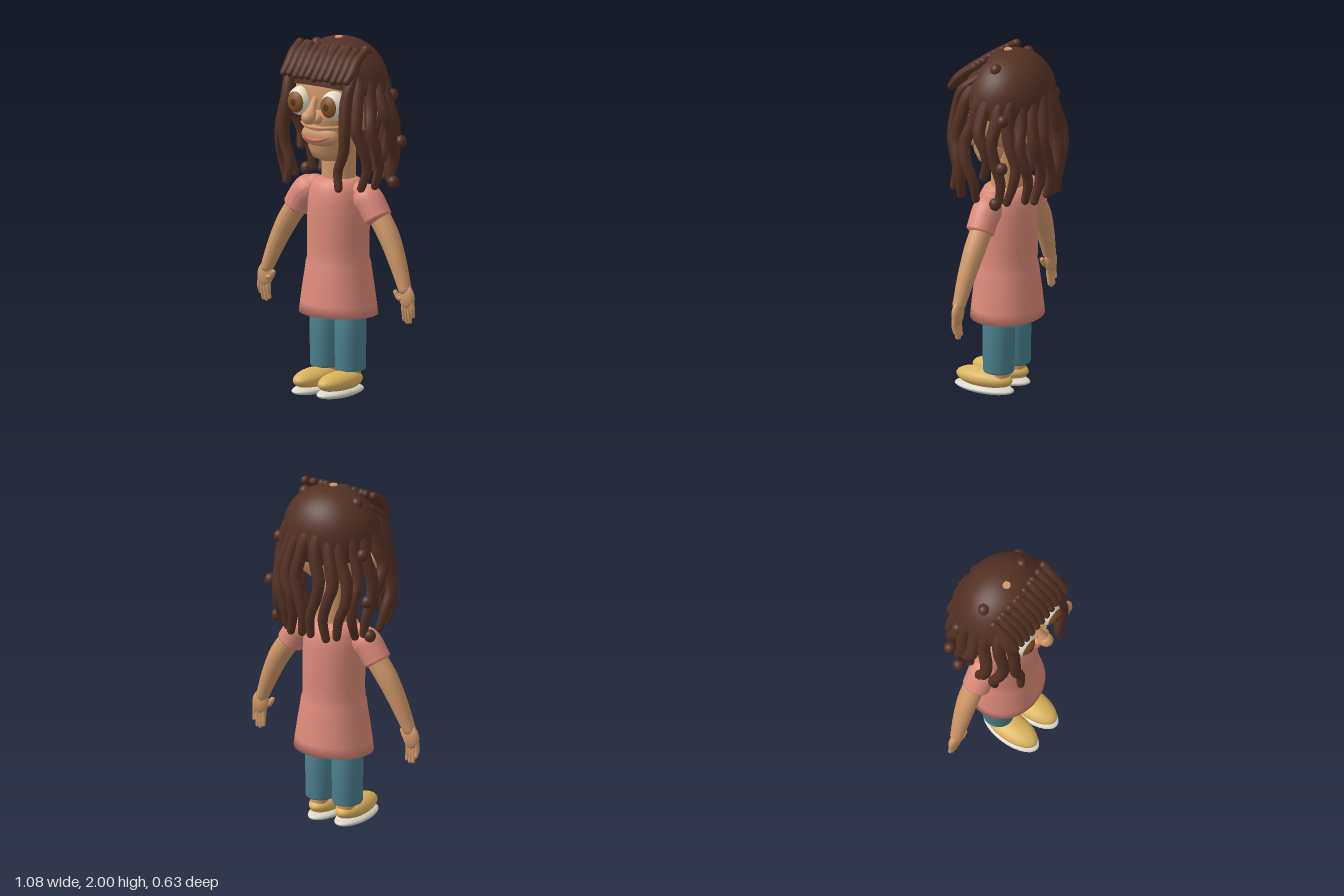
import * as THREE from 'three';

const paint = (name, color) => {
  const m = new THREE.MeshStandardMaterial({ color });
  m.name = name;
  return m;
};
const V = (p) => new THREE.Vector3(...p);

export function createModel() {
  const model = new THREE.Group();
  model.name = 'standingFigure';
  const hair = paint('hairBrown', 0x533125);
  hair.side = THREE.DoubleSide;
  const skin = paint('skin', 0xce9768);
  const shirt = paint('dressPink', 0xdb8979);
  const denim = paint('trouserTeal', 0x4a7f8b);
  const shoe = paint('shoeYellow', 0xdab35c);
  const sole = paint('solePale', 0xdcd8cc);
  const white = paint('eyeWhite', 0xe6e0c8);
  const iris = paint('irisBrown', 0x845526);
  const pupil = paint('pupilDark', 0x5a3518);
  const lip = paint('lipRose', 0xc56c5e);

  const add = (name, geo, mat, pos = [0, 0, 0], scale = [1, 1, 1], parent = model) => {
    const m = new THREE.Mesh(geo, mat);
    m.name = name;
    m.position.set(...pos);
    m.scale.set(...scale);
    parent.add(m);
    return m;
  };
  const ball = new THREE.SphereGeometry(1, 28, 20);
  const blob = (name, mat, pos, radii, parent) => add(name, ball, mat, pos, radii, parent);
  const lathe = (pts) => new THREE.LatheGeometry(pts.map((p) => new THREE.Vector2(...p)), 40);

  // Tube whose radius follows a list of values, with rounded ends
  const limb = (name, mat, points, radii, parent = model, steps = 20, sides = 12) => {
    const curve = new THREE.CatmullRomCurve3(points.map(V));
    const geo = new THREE.TubeGeometry(curve, steps, 1, sides);
    const pos = geo.attributes.position;
    const v = new THREE.Vector3();
    for (let i = 0; i <= steps; i++) {
      const f = (i / steps) * (radii.length - 1);
      const k = Math.min(Math.floor(f), radii.length - 2);
      const r = THREE.MathUtils.lerp(radii[k], radii[k + 1], f - k);
      const c = curve.getPointAt(i / steps);
      for (let j = 0; j <= sides; j++) {
        const n = i * (sides + 1) + j;
        v.fromBufferAttribute(pos, n).sub(c).multiplyScalar(r).add(c);
        pos.setXYZ(n, v.x, v.y, v.z);
      }
    }
    geo.computeVertexNormals();
    add(name, geo, mat, [0, 0, 0], [1, 1, 1], parent);
    const end = new THREE.SphereGeometry(1, 12, 8);
    [[points[0], radii[0]], [points.at(-1), radii.at(-1)]].forEach(([p, r]) =>
      add(name + 'End', end, mat, p, [r, r, r], parent));
  };

  // Dress in one sweep, slightly flatter front to back towards the hem
  const dress = lathe([[0, 0.46], [0.15, 0.452], [0.231, 0.45], [0.222, 0.51], [0.208, 0.6], [0.194, 0.68], [0.186, 0.735],
    [0.177, 0.765], [0.176, 0.85], [0.177, 0.98], [0.172, 1.08], [0.16, 1.15], [0.137, 1.19], [0.1, 1.213], [0, 1.22]]);
  const dp = dress.attributes.position;
  for (let i = 0; i < dp.count; i++) {
    dp.setZ(i, dp.getZ(i) * THREE.MathUtils.mapLinear(THREE.MathUtils.clamp(dp.getY(i), 0.45, 0.85), 0.45, 0.85, 0.85, 0.93));
  }
  add('dress', dress, shirt, [0, 0, 0.004]);

  // Legs, shoes, sleeves, arms and hands on both sides
  for (const s of [-1, 1]) {
    const side = s > 0 ? 'left' : 'right';
    add(side + 'TrouserLeg', lathe([[0, 0.14], [0.08, 0.14], [0.085, 0.15], [0.087, 0.3], [0.088, 0.6], [0, 0.62]]),
      denim, [s * 0.086, 0, 0.008], [0.98, 1, 1.04]);
    add(side + 'Ankle', new THREE.CylinderGeometry(0.05, 0.05, 0.1, 20), skin, [s * 0.086, 0.11, -0.005]);
    blob(side + 'Shoe', shoe, [s * 0.086, 0.088, 0.1], [0.083, 0.056, 0.174]);
    blob(side + 'Sole', sole, [s * 0.086, 0.03, 0.1], [0.086, 0.03, 0.184]);

    const arm = new THREE.Group();
    arm.name = side + 'Arm';
    model.add(arm);
    limb('sleeve', shirt, [[s * 0.16, 1.145, 0.005], [s * 0.22, 1.1, 0.008], [s * 0.294, 0.992, 0.01]],
      [0.06, 0.076, 0.083, 0.083, 0.081, 0.08, 0.079, 0.079, 0.04], arm, 24, 24);
    limb('armSkin', skin, [[s * 0.26, 1.05, 0], [s * 0.35, 0.92, 0.005], [s * 0.42, 0.78, 0.015], [s * 0.475, 0.645, 0.025]],
      [0.062, 0.06, 0.05, 0.037], arm, 20, 20);
    const palm = blob('palm', skin, [s * 0.488, 0.6, 0.025], [0.051, 0.07, 0.028], arm);
    palm.rotation.z = s * 0.15;
    [0.47, 0.458, 0.462, 0.495].forEach((tip, i) => {
      const x = 0.464 + i * 0.02;
      limb('finger', skin, [[s * x, 0.575, 0.025], [s * (x + 0.004), 0.53, 0.026], [s * (x + 0.002), tip, 0.018]],
        [0.015, 0.014, 0.011], arm, 8, 8);
    });
    limb('thumb', skin, [[s * 0.475, 0.6, 0.03], [s * 0.446, 0.59, 0.036], [s * 0.422, 0.622, 0.04]],
      [0.02, 0.017, 0.014], arm, 8, 8);
  }

  // Head
  const head = new THREE.Group();
  head.name = 'head';
  model.add(head);
  add('neck', new THREE.CylinderGeometry(0.094, 0.098, 0.28, 32), skin, [0, 1.3, 0], [1, 1, 0.95], head);
  blob('skull', skin, [0, 1.695, -0.005], [0.248, 0.265, 0.225], head);
  add('jaw', lathe([[0, 1.315], [0.06, 1.32], [0.1, 1.34], [0.122, 1.39], [0.135, 1.47], [0.15, 1.56], [0.15, 1.62], [0, 1.64]]),
    skin, [0, 0, 0.07], [1, 1, 1.06], head);
  blob('muzzle', skin, [0, 1.47, 0.168], [0.122, 0.066, 0.058], head);
  limb('upperLipFold', skin, [[-0.125, 1.53, 0.17], [-0.06, 1.525, 0.218], [0, 1.525, 0.228], [0.06, 1.525, 0.218], [0.125, 1.53, 0.17]],
    [0.008, 0.012, 0.008], head);
  limb('lips', lip, [[-0.092, 1.474, 0.203], [-0.048, 1.459, 0.225], [0, 1.453, 0.232], [0.048, 1.459, 0.225], [0.092, 1.474, 0.203]],
    [0.004, 0.011, 0.013, 0.011, 0.004], head);
  limb('noseBridge', skin, [[0, 1.69, 0.21], [0, 1.64, 0.24], [0, 1.59, 0.265]], [0.016, 0.022, 0.038], head);
  blob('noseTip', skin, [0, 1.588, 0.272], [0.04, 0.04, 0.045], head);
  const eyeCap = (angle) => new THREE.SphereGeometry(1, 28, 10, 0, Math.PI * 2, 0, angle).rotateX(Math.PI / 2);
  for (const s of [-1, 1]) {
    blob('nostril', skin, [s * 0.034, 1.575, 0.235], [0.022, 0.026, 0.032], head);
    blob('ear', skin, [s * 0.25, 1.6, 0.03], [0.03, 0.06, 0.04], head);
    const eye = [s * 0.113, 1.655, 0.188];
    blob('eyeball', white, eye, [0.075, 0.083, 0.077], head);
    add('iris', eyeCap(0.78), iris, eye, [0.077, 0.085, 0.079], head);
    add('pupil', eyeCap(0.24), pupil, eye, [0.079, 0.087, 0.081], head);
  }

  // Hair cap, tilted back to leave the face clear
  const hairdo = new THREE.Group();
  hairdo.name = 'hair';
  model.add(hairdo);
  const cap = add('hairCap', new THREE.SphereGeometry(1, 40, 24, 0, Math.PI * 2, 0, Math.PI * 0.57),
    hair, [0, 1.735, -0.012], [0.28, 0.262, 0.242], hairdo);
  cap.rotation.x = -0.34;
  add('crownSpot', new THREE.CylinderGeometry(0.022, 0.022, 0.008, 20), skin, [0, 1.995, 0], [1, 1, 1], hairdo);

  // Fringe
  for (let i = 0; i < 11; i++) {
    const x = -0.212 + i * 0.0435;
    const bow = 0.01 * Math.sin(i * 2.1);
    const z = -0.2 * (x - 0.01) ** 2;
    limb('fringeLock', hair, [[x + bow, 1.95, 0.085 + z], [x + 0.004, 1.905, 0.15 + z], [x + 0.01, 1.855, 0.2 + z],
      [x + 0.004, 1.805 + bow * 0.5, 0.236 + z]], [0.023, 0.027, 0.027, 0.021], hairdo, 12, 10);
  }

  // Long wavy locks emerging from the cap: angle from the front in degrees, end height, wave phase
  const profile = [[0.8, 1.85], [0.98, 1.76], [1.12, 1.64], [1.24, 1.52], [1.27, 1.42], [1.23, 1.31], [1.15, 1.2]];
  const locks = [[63, 1.2, 0.8], [79, 1.2, 0.2], [94, 1.34, 1.2], [110, 1.21, 0.4], [126, 1.2, 1.8], [141, 1.2, 0.4],
    [156, 1.19, 1.2], [171, 1.21, 0.6]];
  const lockRadii = [0.028, 0.035, 0.036, 0.035, 0.032, 0.028, 0.023];
  for (const s of [-1, 1]) {
    // Locks framing the face
    limb('faceLock', hair, [[s * 0.19, 1.87, 0.08], [s * 0.208, 1.79, 0.165], [s * 0.203, 1.67, 0.205], [s * 0.212, 1.52, 0.225],
      [s * 0.2, 1.4, 0.222], [s * 0.168, 1.3, 0.228], [s * 0.18, 1.205, 0.24]],
    [0.024, 0.031, 0.034, 0.034, 0.031, 0.027, 0.022], hairdo, 30, 10);
    locks.forEach(([deg, endY, phase], n) => {
      const pts = profile.map(([k, y], i) => {
        const a = THREE.MathUtils.degToRad(deg + 5.5 * Math.sin(i * 1.3 + phase + (s > 0 ? 0.6 : 0)) * Math.min(1, i / 3));
        const h = 1.85 - (1.85 - y) * (1.85 - endY) / 0.65;
        const r = k + 0.03 * Math.sin(i * 1.5 + n * 1.7);
        return [s * Math.sin(a) * 0.25 * r, h, Math.cos(a) * (deg < 90 ? 0.28 : 0.23) * r];
      });
      limb('longLock', hair, pts, lockRadii, hairdo, 30, 10);
    });
    // Beads of curled hair
    [[0.3, 1.2, -0.1], [0.315, 1.42, -0.15], [0.27, 1.68, -0.13], [0.17, 1.93, -0.025]].forEach((p) =>
      blob('curl', hair, [s * p[0], p[1], p[2]], [0.033, 0.036, 0.033], hairdo));
  }
  return model;
}
